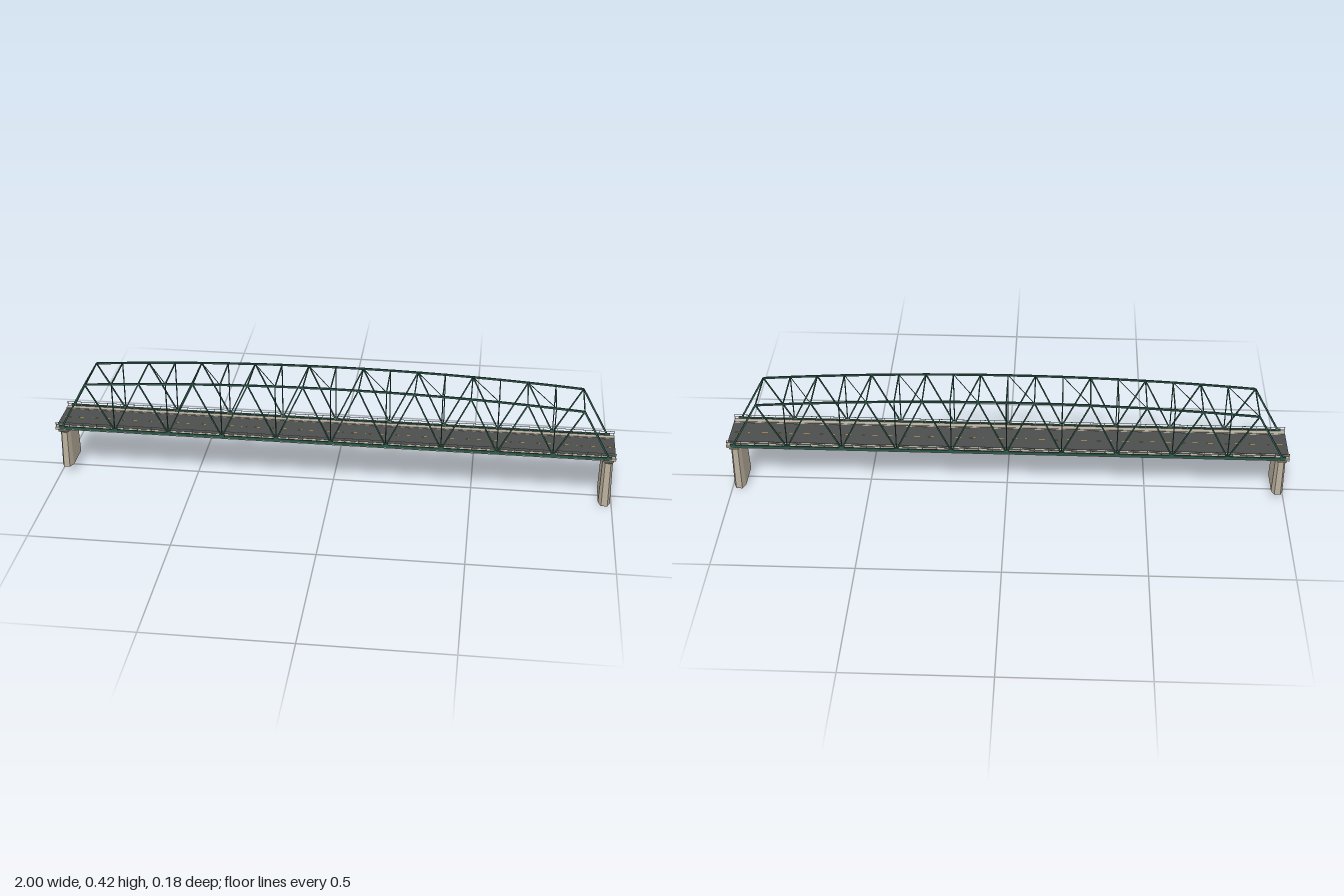
import * as THREE from 'three';

const mat = (name, color) => Object.assign(new THREE.MeshStandardMaterial({ color }), { name });

export function createModel() {
  const steel = mat('green steel', 0x2f584c);
  const concrete = mat('concrete', 0xb8ae9c);
  const asphalt = mat('asphalt', 0x4b4e4c);
  const railGrey = mat('rail grey', 0x8f9a97);
  const white = mat('white paint', 0xe4e2da);
  const yellow = mat('yellow paint', 0xd9a93a);
  const dark = mat('bearing grey', 0x3a3d3e);

  const model = new THREE.Group();
  model.name = 'trussBridge';
  const group = (name) => {
    const g = new THREE.Group();
    g.name = name;
    model.add(g);
    return g;
  };
  const box = (parent, name, m, w, h, d, x, y, z) => {
    const mesh = new THREE.Mesh(new THREE.BoxGeometry(w, h, d), m);
    mesh.name = name;
    mesh.position.set(x, y, z);
    parent.add(mesh);
    return mesh;
  };
  // Straight member between two points
  const beam = (parent, name, a, b, w, h, m = steel) => {
    const p = new THREE.Vector3(...a), q = new THREE.Vector3(...b);
    const mesh = new THREE.Mesh(new THREE.BoxGeometry(w, h, p.distanceTo(q)), m);
    mesh.name = name;
    mesh.position.copy(p).add(q).multiplyScalar(0.5);
    mesh.lookAt(q);
    parent.add(mesh);
  };

  // Deck with road surface, footways and painted lines
  const deck = group('deck');
  box(deck, 'slab', concrete, 2, 0.0065, 0.173, 0, 0.19525, 0);
  box(deck, 'road', asphalt, 1.998, 0.001, 0.13, 0, 0.199, 0);
  for (const s of [-1, 1]) {
    box(deck, 'footway', concrete, 2, 0.003, 0.0215, 0, 0.1998, s * 0.0757);
    box(deck, 'edgeLine', white, 1.99, 0.0004, 0.0014, 0, 0.1997, s * 0.061);
  }
  for (let i = 0; i < 40; i++) {
    box(deck, 'laneDash', yellow, 0.022, 0.0004, 0.0016, -0.975 + i * 0.05, 0.1997, 0);
  }

  // Railings along both footways
  const railings = group('railings');
  for (const s of [-1, 1]) {
    for (const y of [0.2105, 0.219]) box(railings, 'rail', railGrey, 2, 0.0014, 0.0014, 0, y, s * 0.081);
    for (let i = 0; i <= 40; i++) {
      box(railings, 'railPost', railGrey, 0.0018, 0.019, 0.0018, -0.998 + i * 0.0499, 0.21, s * 0.081);
    }
  }

  // Trusses: even steps of the half panel are bottom nodes, odd steps top nodes
  const half = 0.0976, Z = 0.0855, bottomY = 0.2005;
  const topY = (x) => 0.415 - 0.035 * (x / 0.878) ** 2;
  const bottom = (i, s) => [i * half, bottomY, s * Z];
  const top = (i, s) => [i * half, topY(i * half), s * Z];
  for (const s of [-1, 1]) {
    const truss = group(s > 0 ? 'frontTruss' : 'backTruss');
    box(truss, 'bottomChord', steel, 1.96, 0.01, 0.0055, 0, bottomY, s * Z);
    for (let i = -9; i < 9; i++) beam(truss, 'topChord', top(i, s), top(i + 1, s), 0.0055, 0.0065);
    for (let i = -9; i <= 9; i += 2) {
      for (const d of [-1, 1]) {
        const end = Math.abs(i + d) === 10;
        beam(truss, end ? 'endPost' : 'diagonal', bottom(i + d, s), top(i, s), end ? 0.0055 : 0.004, end ? 0.006 : 0.0045);
      }
    }
    for (let i = -8; i <= 8; i += 2) beam(truss, 'hanger', bottom(i, s), top(i, s), 0.0035, 0.0035);
    // Gusset plates at the lower nodes
    for (let i = -10; i <= 10; i += 2) {
      box(truss, 'gusset', steel, 0.018, 0.013, 0.006, i * half, 0.2025, s * Z);
    }
  }

  // Cross struts and slanted wind bracing between the top chords
  const bracing = group('topBracing');
  for (let i = -9; i <= 9; i++) beam(bracing, 'strut', top(i, -1), top(i, 1), 0.004, 0.0045);
  for (let i = -9; i < 9; i += 2) beam(bracing, 'windBrace', top(i, -1), top(i + 1, 1), 0.002, 0.002);

  // Piers lofted from eight-sided rings: [y, half x, half flat x, half z, half flat z]
  const loft = (rings) => {
    const pos = [];
    const pts = rings.map(([y, x, fx, z, fz]) => [
      [x, y, -fz], [x, y, fz], [fx, y, z], [-fx, y, z],
      [-x, y, fz], [-x, y, -fz], [-fx, y, -z], [fx, y, -z]]);
    for (let r = 0; r + 1 < pts.length; r++) {
      for (let i = 0; i < 8; i++) {
        const j = (i + 1) % 8, a = pts[r][i], b = pts[r][j], c = pts[r + 1][j], d = pts[r + 1][i];
        pos.push(...a, ...c, ...b, ...a, ...d, ...c);
      }
    }
    const lo = pts[0], hi = pts[pts.length - 1];
    for (let i = 1; i < 7; i++) {
      pos.push(...lo[0], ...lo[i], ...lo[i + 1], ...hi[0], ...hi[i + 1], ...hi[i]);
    }
    const g = new THREE.BufferGeometry();
    g.setAttribute('position', new THREE.Float32BufferAttribute(pos, 3));
    g.computeVertexNormals();
    return g;
  };
  for (const s of [-1, 1]) {
    const pier = group(s > 0 ? 'leftPier' : 'rightPier');
    pier.position.x = s * 0.975;
    const base = s > 0 ? 0 : 0.03, k = (0.17 - base) / 0.17;
    const shaft = new THREE.Mesh(loft([
      [base, 0.018 + 0.003 * k, 0.011, 0.066 + 0.007 * k, 0.047 + 0.004 * k],
      [0.17, 0.018, 0.01, 0.066, 0.047]]), concrete);
    shaft.name = 'shaft';
    const cap = new THREE.Mesh(loft([
      [0.17, 0.018, 0.01, 0.066, 0.047],
      [0.184, 0.025, 0.015, 0.085, 0.061],
      [0.188, 0.025, 0.015, 0.085, 0.061]]), concrete);
    cap.name = 'cap';
    pier.add(shaft, cap);
    for (const t of [-1, 1]) box(pier, 'bearing', dark, 0.018, 0.005, 0.01, 0, 0.19, t * 0.057);
  }

  return model;
}
